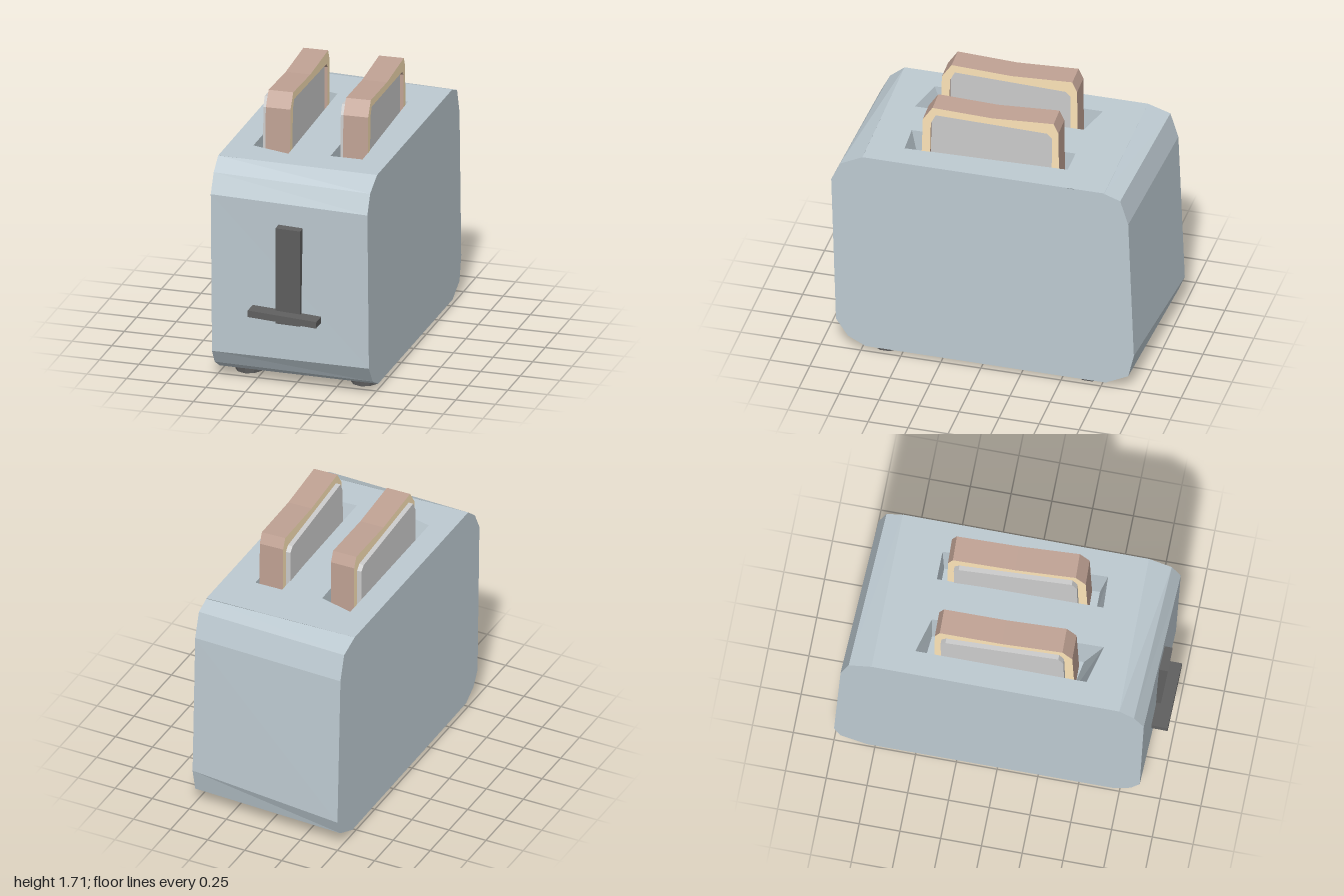
import * as THREE from 'three';

const mat = (color, side = THREE.FrontSide) =>
  new THREE.MeshStandardMaterial({ color, flatShading: true, side });
const V = (x, y, z) => new THREE.Vector3(x, y, z);

// Non-indexed geometry from a list of triangle corners
function fromTriangles(points) {
  const g = new THREE.BufferGeometry().setFromPoints(points);
  g.computeVertexNormals();
  return g;
}

function addMesh(parent, name, geometry, material) {
  const m = new THREE.Mesh(geometry, material);
  m.name = name;
  parent.add(m);
  return m;
}

// Side outlines as [z, y], from the top front edge down and round to the top back edge
const rightOutline = [[0.74, 1.39], [0.88, 1.32], [0.935, 1.2], [0.905, 0.2], [0.83, 0.09], [0.72, 0.035],
  [-0.78, 0.03], [-0.92, 0.1], [-0.955, 0.25], [-0.92, 1.19], [-0.87, 1.35], [-0.77, 1.385]];
const leftOutline = [[0.75, 1.405], [0.84, 1.33], [0.9, 1.21], [0.875, 0.19], [0.82, 0.1], [0.72, 0.04],
  [-0.8, 0.03], [-0.96, 0.1], [-1, 0.2], [-0.96, 1.2], [-0.91, 1.36], [-0.77, 1.405]];

// Slot rims and floors as [x, z] corners
const slots = [
  { rim: [[-0.35, -0.53], [-0.13, -0.47], [-0.11, 0.58], [-0.35, 0.52]],
    floor: [[-0.35, -0.49], [-0.13, -0.47], [-0.12, 0.46], [-0.34, 0.42]] },
  { rim: [[0.13, -0.49], [0.31, -0.49], [0.34, 0.52], [0.14, 0.53]],
    floor: [[0.13, -0.48], [0.31, -0.48], [0.34, 0.47], [0.14, 0.47]] },
];
const FLOOR = 1.1;
const topY = (x) => 1.397 - 0.0165 * x;

function bodyShell() {
  const R = rightOutline.map(([z, y]) => V(0.5, y, z));
  const L = leftOutline.map(([z, y]) => V(-0.5, y, z));
  const t = [];
  for (let i = 0; i < R.length - 1; i++) {
    t.push(L[i], L[i + 1], R[i + 1], L[i], R[i + 1], R[i]);
    if (i > 0) t.push(R[0], R[i], R[i + 1], L[0], L[i + 1], L[i]);
  }
  return fromTriangles(t);
}

// Top panel with two slot openings
function topPanel() {
  const toV2 = ([x, z]) => new THREE.Vector2(x, -z);
  const shape = new THREE.Shape([[-0.5, 0.75], [0.5, 0.74], [0.5, -0.77], [-0.5, -0.77]].map(toV2));
  for (const s of slots) shape.holes.push(new THREE.Path(s.rim.map(toV2)));
  const g = new THREE.ShapeGeometry(shape).rotateX(-Math.PI / 2);
  const p = g.attributes.position;
  for (let i = 0; i < p.count; i++) p.setY(i, topY(p.getX(i)));
  g.computeVertexNormals();
  return g;
}

function slotWell({ rim, floor }) {
  const a = rim.map(([x, z]) => V(x, topY(x), z));
  const b = floor.map(([x, z]) => V(x, FLOOR, z));
  const t = [b[0], b[2], b[1], b[0], b[3], b[2]];
  for (let i = 0; i < 4; i++) {
    const j = (i + 1) % 4;
    t.push(a[i], b[i], b[j], a[i], b[j], a[j]);
  }
  return fromTriangles(t);
}

// Extrudes a [-z, y] outline along x between two positions
function slab(outline, x0, x1) {
  const shape = new THREE.Shape(outline.map(([s, y]) => new THREE.Vector2(s, y)));
  return new THREE.ExtrudeGeometry(shape, { depth: x1 - x0, bevelEnabled: false })
    .rotateY(Math.PI / 2).translate(x0, 0, 0);
}

function makeToast(name, x, z, turn, lean) {
  const toast = new THREE.Group();
  toast.name = name;
  const outer = [[-0.425, FLOOR], [-0.41, 1.62], [-0.35, 1.71], [0.02, 1.69], [0.4, 1.705], [0.43, 1.64], [0.435, FLOOR]];
  const inner = [[0.385, FLOOR], [0.39, 1.6], [0.36, 1.63], [-0.33, 1.66], [-0.36, 1.6], [-0.37, FLOOR]];
  // Brown crust with pale cut faces, around a bread panel that bulges to one side
  addMesh(toast, 'crust', slab([...outer, ...inner], -0.075, 0.08), [mat(0xfde4b8), mat(0xc0a294)]);
  addMesh(toast, 'bread', slab(inner, -0.105, 0.06), mat(0xcccccc));
  toast.position.set(x, 0, z);
  toast.rotation.set(0, turn, lean);
  return toast;
}

export function createModel() {
  const model = new THREE.Group();
  model.name = 'toaster';
  const shellMat = mat(0xbdcad1, THREE.DoubleSide);
  const darkMat = mat(0x606060);

  const body = new THREE.Group();
  body.name = 'body';
  addMesh(body, 'shell', bodyShell(), shellMat);
  addMesh(body, 'topPanel', topPanel(), shellMat);
  slots.forEach((s, i) => addMesh(body, i ? 'leftSlot' : 'rightSlot', slotWell(s), shellMat));
  model.add(body);

  model.add(makeToast('rightToast', -0.235, 0.012, 0.02, 0));
  model.add(makeToast('leftToast', 0.245, 0, 0.035, 0));

  // Lever track, leaning forward at the top
  const track = addMesh(model, 'leverTrack', new THREE.BoxGeometry(0.155, 0.635, 0.06), darkMat);
  track.position.set(0, 0.747, 0.912);
  track.rotation.set(0.075, 0, -0.025);

  // Lever handle, slightly crooked
  const handle = addMesh(model, 'leverHandle', new THREE.BoxGeometry(0.435, 0.042, 0.1), darkMat);
  handle.position.set(-0.02, 0.492, 0.948);
  handle.rotation.set(0, -0.01, -0.055);

  // Four feet
  for (const x of [-0.345, 0.385])
    for (const z of [0.61, -0.655]) {
      const foot = addMesh(model, 'foot', new THREE.CylinderGeometry(0.09, 0.085, 0.04, 10), darkMat);
      foot.position.set(x, 0.02, z);
      foot.scale.z = 1.1;
    }
  return model;
}
